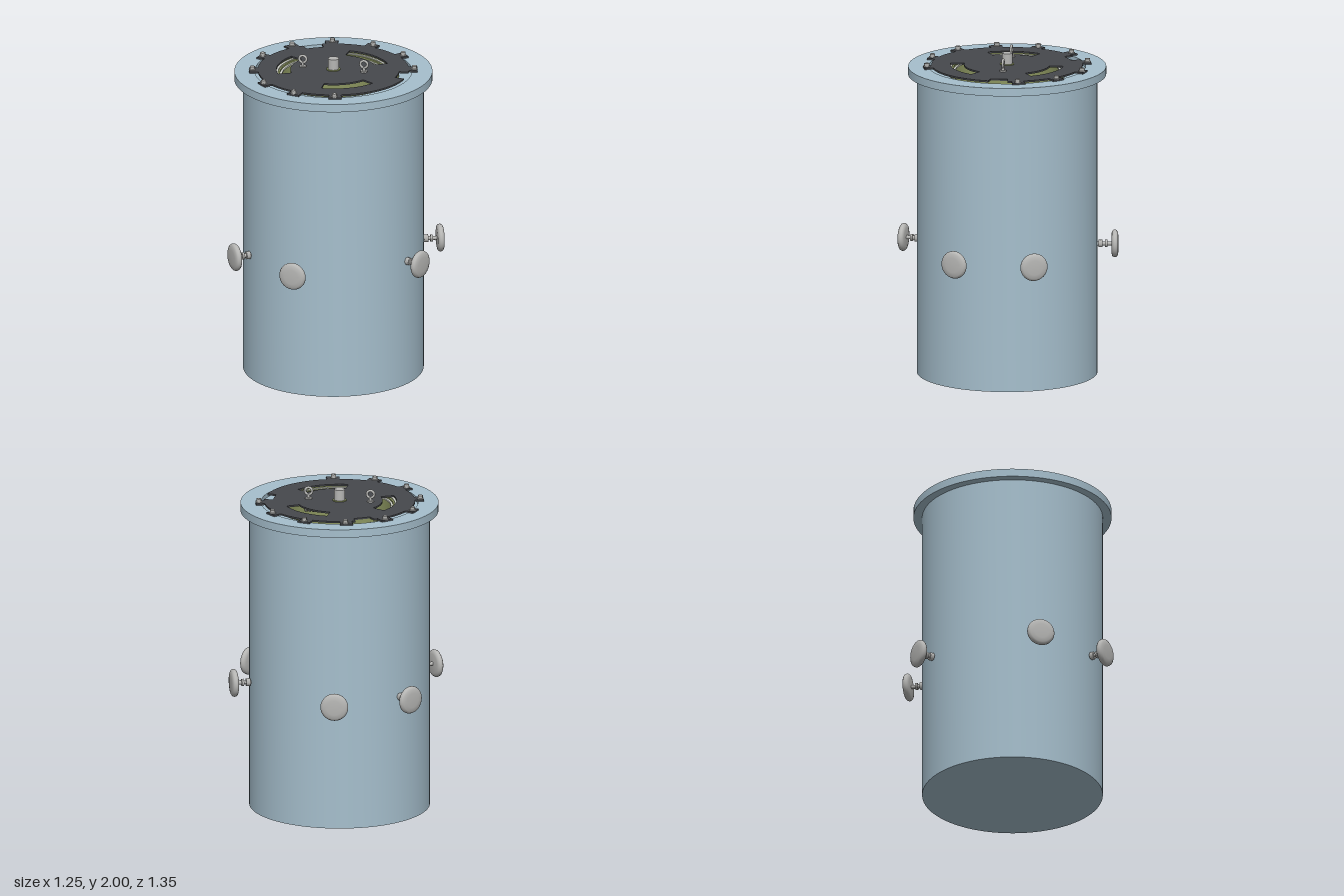
import * as THREE from 'three';
import { toCreasedNormals } from 'three/addons/utils/BufferGeometryUtils.js';

const mat = (name, color) => {
  const m = new THREE.MeshStandardMaterial({ color });
  m.name = name;
  return m;
};
const rad = THREE.MathUtils.degToRad;

export function createModel() {
  const blue = mat('tank blue', 0xa6bfcd);
  const dark = mat('cover charcoal', 0x46484c);
  const steel = mat('steel', 0xb6b6b4);
  const olive = mat('olive liner', 0x8c9660);
  const pale = mat('pale seal', 0xcdd0c6);

  const root = new THREE.Group();
  root.name = 'tank';
  const axis = new THREE.Group();
  axis.name = 'tankAssembly';
  axis.position.x = -0.025;
  root.add(axis);

  const add = (parent, name, geo, material, x = 0, y = 0, z = 0) => {
    const mesh = new THREE.Mesh(geo, material);
    mesh.name = name;
    mesh.position.set(x, y, z);
    parent.add(mesh);
    return mesh;
  };
  const lathe = (pts, seg = 96, crease = 0.6) => toCreasedNormals(
    new THREE.LatheGeometry(pts.map(p => new THREE.Vector2(p[0], p[1])), seg), crease);
  const cyl = (r, h, seg = 24) => new THREE.CylinderGeometry(r, r, h, seg);
  // Point on a circle, angle in degrees; shape y becomes -z once laid flat
  const polar = (deg, r) => new THREE.Vector2(Math.cos(rad(deg)) * r, Math.sin(rad(deg)) * r);

  // Tank shell with rim flange, recess and inner well
  add(axis, 'tankShell', lathe([
    [0, 0], [0.55, 0], [0.55, 1.86], [0.603, 1.86], [0.603, 1.91],
    [0.478, 1.91], [0.478, 1.885], [0.36, 1.885], [0.36, 1.5], [0, 1.5],
  ]), blue);

  // Inner liner, seal and floor seen through the cover slots
  add(axis, 'liner', lathe([
    [0.4, 1.88], [0.4, 1.911], [0.36, 1.911], [0.36, 1.9], [0.325, 1.9], [0.325, 1.5],
  ]), olive);
  add(axis, 'outerSeal', lathe([[0.352, 1.898], [0.352, 1.904], [0.336, 1.904], [0.336, 1.898]]), pale);
  add(axis, 'innerSeal', lathe([[0.326, 1.88], [0.326, 1.89], [0.312, 1.89], [0.312, 1.88]]), pale);
  add(axis, 'wellFloor', cyl(0.325, 0.01, 64), dark, 0, 1.51, 0);
  add(axis, 'innerPlate', new THREE.BoxGeometry(0.03, 0.02, 0.29), pale, -0.28, 1.7, 0);

  // Cover plate: bolt tabs, two notches and three curved slots
  const boltAngles = [];
  for (let a = 15; a <= 285; a += 30) boltAngles.push(a);
  const notches = [0, 120];
  const edge = deg => {
    const near = (c, half) => Math.abs(((deg - c + 540) % 360) - 180) <= half;
    if (boltAngles.some(c => near(c, 4))) return 0.513;
    if (notches.some(c => near(c, 7))) return 0.403;
    return 0.46;
  };
  const outline = [];
  for (let a = 0; a < 360; a++) {
    const before = edge(a - 1), here = edge(a);
    if (before !== here) outline.push(polar(a, before));
    outline.push(polar(a, here));
  }
  const cover = new THREE.Shape(outline);
  for (const c of [60, 180, 300]) {
    const slot = new THREE.Path();
    slot.absarc(0, 0, 0.346, rad(c - 28), rad(c + 28), false);
    slot.absarc(0, 0, 0.262, rad(c + 28), rad(c - 28), true);
    slot.closePath();
    cover.holes.push(slot);
  }
  const coverGeo = new THREE.ExtrudeGeometry(cover, { depth: 0.01, bevelEnabled: false, curveSegments: 24 });
  coverGeo.rotateX(-Math.PI / 2);
  add(axis, 'coverPlate', coverGeo, dark, 0, 1.911, 0);

  // Cover bolts
  boltAngles.forEach(a => {
    const p = polar(a, 0.493);
    add(axis, 'coverBoltWasher', cyl(0.02, 0.004), steel, p.x, 1.923, -p.y);
    add(axis, 'coverBolt', cyl(0.016, 0.018, 6), steel, p.x, 1.933, -p.y);
  });

  // Centre post in its collar
  add(axis, 'postCollar', cyl(0.043, 0.006, 32), olive, 0, 1.923, 0);
  add(axis, 'centrePost', cyl(0.033, 0.072, 32), steel, 0, 1.956, 0);

  // Lifting eyes
  for (const s of [-1, 1]) {
    const eye = new THREE.Group();
    eye.name = 'liftingEye';
    eye.position.set(s * 0.192, 0, 0);
    add(eye, 'eyeBase', cyl(0.021, 0.008), steel, 0, 1.925, 0);
    add(eye, 'eyeShank', cyl(0.009, 0.03, 12), steel, 0, 1.938, 0);
    add(eye, 'eyeRing', new THREE.TorusGeometry(0.022, 0.008, 10, 28), steel, 0, 1.97, 0);
    axis.add(eye);
  }

  // Threaded rods visible in the two right-hand slots
  for (const s of [-1, 1]) {
    for (let i = 0; i < 4; i++) {
      const thread = add(axis, 'rodThread', cyl(0.018, 0.01, 12), steel, 0.175 + i * 0.022, 1.8, s * 0.185);
      thread.rotation.z = Math.PI / 2;
    }
    const rod = add(axis, 'threadedRod', cyl(0.01, 0.09, 12), steel, 0.205, 1.8, s * 0.185);
    rod.rotation.z = Math.PI / 2;
  }

  // Side knobs: built along +y, then turned to point outward
  const knobGeo = lathe([
    [0, 0], [0.06, 0], [0.076, 0.004], [0.084, 0.013], [0.085, 0.022],
    [0.081, 0.032], [0.07, 0.039], [0.045, 0.042], [0, 0.043],
  ], 40, 0.9);
  for (const a of [22, 98, 142, 218, 262, 338]) {
    const turn = new THREE.Group();
    turn.name = 'sideKnob';
    turn.position.y = 0.8;
    turn.rotation.y = rad(a);
    const knob = new THREE.Group();
    knob.name = 'knobParts';
    knob.rotation.z = -Math.PI / 2;
    add(knob, 'knobStem', cyl(0.012, 0.11, 16), steel, 0, 0.595, 0);
    add(knob, 'knobNut', cyl(0.024, 0.026, 6), steel, 0, 0.568, 0);
    add(knob, 'knobCollar', cyl(0.022, 0.014, 20), steel, 0, 0.602, 0);
    add(knob, 'knobDisc', knobGeo, steel, 0, 0.635, 0);
    turn.add(knob);
    axis.add(turn);
  }
  return root;
}
